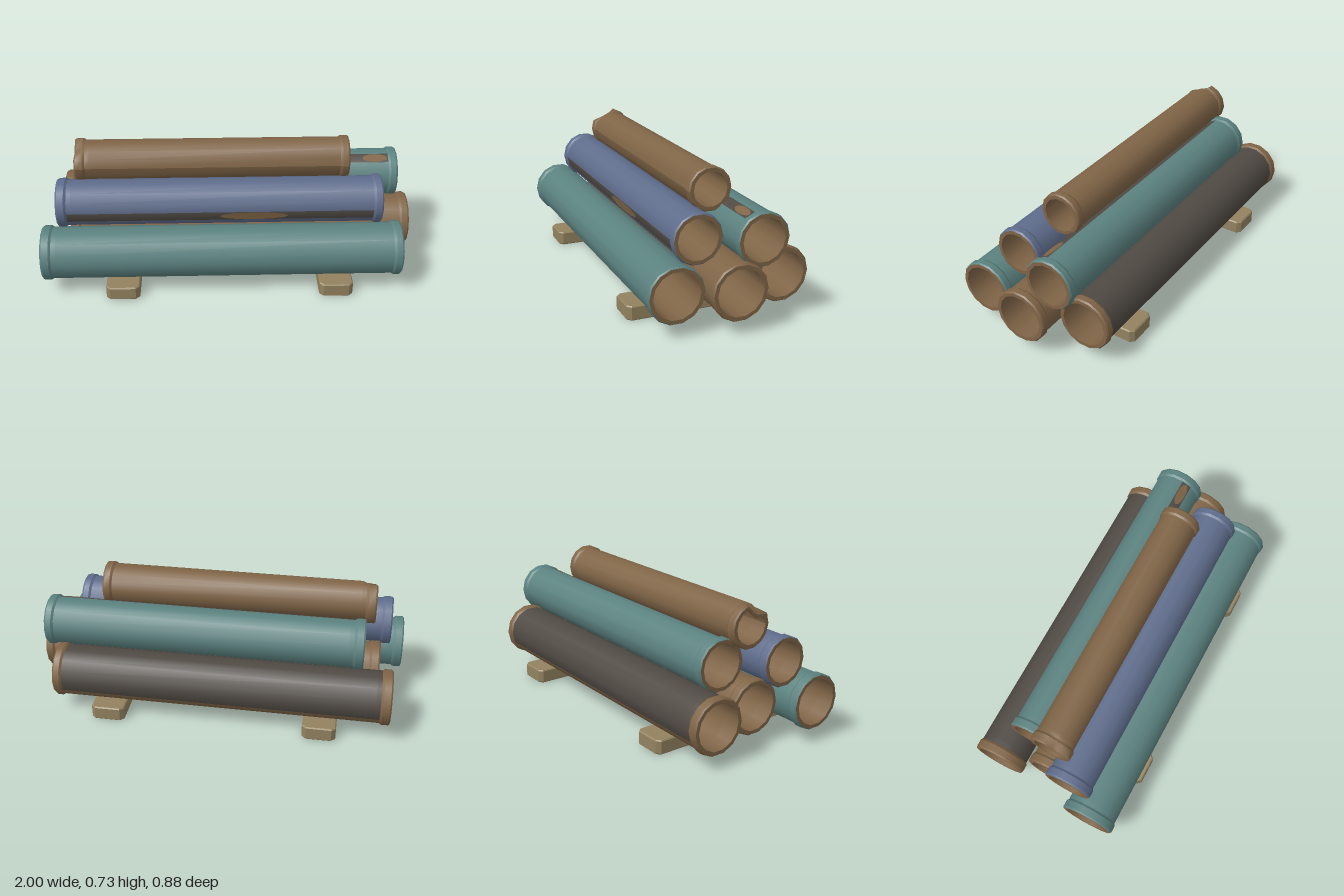
import * as THREE from 'three';

const SIDES = 14;
const STEP = (Math.PI * 2) / SIDES;

function material(name, color) {
  const m = new THREE.MeshStandardMaterial({ color });
  m.name = name;
  return m;
}

export function createModel() {
  const teal = material('teal paint', 0x5b8280);
  const blue = material('blue paint', 0x5f6d8c);
  const rust = material('brown rust', 0x806547);
  const grime = material('dark grime', 0x504a44);
  const wood = material('pale wood', 0x93825f);

  // One band of a pipe: a smooth lathe laid along x, with optional stripe facets
  function band(group, name, profile, mat, stripe, dent) {
    const g = new THREE.LatheGeometry(profile.map(([r, x]) => new THREE.Vector2(r, x)), SIDES);
    g.rotateZ(-Math.PI / 2);
    if (dent) {
      const p = g.attributes.position;
      for (let i = 0; i < p.count; i++) {
        const x = p.getX(i), y = p.getY(i), z = p.getZ(i);
        const angle = Math.atan2(y, z);
        const near = Math.max(0, 1 - (x - dent) / 0.075);
        if (near > 0 && Math.abs(angle - STEP * 2.5) < STEP * 0.6) {
          const k = 1 - 0.042 * near / Math.hypot(y, z);
          p.setY(i, y * k);
          p.setZ(i, z * k);
        }
      }
      g.computeVertexNormals();
    }
    let mats = mat;
    if (stripe) {
      const per = 6 * (profile.length - 1);
      for (let i = 0; i < SIDES; i++) g.addGroup(i * per, per, i === stripe.facet ? 1 : 0);
      mats = [mat, stripe.mat];
    }
    const mesh = new THREE.Mesh(g, mats);
    mesh.name = name;
    group.add(mesh);
  }

  // Hollow pipe with a bevelled collar at both ends
  function pipe({ name, y, z, R, x0, x1, body, collar = body, stripe, spots = [], dented }) {
    const group = new THREE.Group();
    group.name = name;
    group.position.set(0, y, z);
    const r = R - 0.008, bore = R - 0.025, edge = R - 0.006;
    const dent = dented ? x0 : 0;
    const add = (n, profile, mat, s) => band(group, n, profile, mat, s, dent);

    add('bore', [[bore, x1], [bore, x1 - 0.1], [bore, x0 + 0.1], [bore, x0]], rust);
    add('leftRim', [[bore, x0], [edge, x0]], rust);
    add('leftBevel', [[edge, x0], [R, x0 + 0.008]], collar);
    add('leftCollar', [[R, x0 + 0.008], [R, x0 + 0.044]], collar);
    add('leftShoulder', [[R, x0 + 0.044], [r, x0 + 0.056]], collar);
    add('pipeBody', [[r, x0 + 0.056], [r, x0 + 0.08], [r, x1 - 0.05]], body, stripe);
    add('rightShoulder', [[r, x1 - 0.05], [R, x1 - 0.038]], collar);
    add('rightCollar', [[R, x1 - 0.038], [R, x1 - 0.008]], collar);
    add('rightBevel', [[R, x1 - 0.008], [edge, x1]], collar);
    add('rightRim', [[edge, x1], [bore, x1]], rust);

    // Rust patches lying on the stripe facet
    for (const [x, halfLength, halfHeight] of spots) {
      const g = new THREE.CircleGeometry(1, 12);
      g.scale(halfLength, halfHeight, 1);
      g.translate(x, 0, r * Math.cos(STEP / 2) + 0.002);
      g.rotateX((stripe.facet + 0.5) * STEP);
      const spot = new THREE.Mesh(g, rust);
      spot.name = 'rustPatch';
      group.add(spot);
    }
    return group;
  }

  const model = new THREE.Group();
  model.name = 'pipeStack';

  const pipes = [
    { name: 'frontBottomPipe', y: 0.215, z: 0.291, R: 0.147, x0: -1, x1: 0.92, body: teal,
      stripe: { facet: 4, mat: grime }, spots: [[0.1, 0.08, 0.02], [0.35, 0.05, 0.018]] },
    { name: 'middleBottomPipe', y: 0.215, z: 0, R: 0.147, x0: -0.87, x1: 1, body: rust },
    { name: 'backBottomPipe', y: 0.215, z: -0.291, R: 0.147, x0: -0.94, x1: 0.87, body: grime,
      collar: rust, stripe: { facet: 5, mat: rust } },
    { name: 'frontUpperPipe', y: 0.438, z: 0.14, R: 0.132, x0: -0.92, x1: 0.82, body: blue,
      stripe: { facet: 0, mat: grime }, spots: [[0.13, 0.185, 0.026]] },
    { name: 'backUpperPipe', y: 0.439, z: -0.144, R: 0.138, x0: -0.78, x1: 0.945, body: teal,
      stripe: { facet: 11, mat: grime }, spots: [[0.82, 0.07, 0.025]] },
    { name: 'topPipe', y: 0.621, z: -0.002, R: 0.116, x0: -0.825, x1: 0.65, body: rust, dented: true },
  ];
  for (const p of pipes) model.add(pipe(p));

  // Two wooden bearers with clipped corners
  const bevel = 0.006;
  const w = 0.09 - bevel, l = 0.44 - bevel, c = 0.018;
  const outline = new THREE.Shape([
    [w, -l + c], [w, l - c], [w - c, l], [-w + c, l],
    [-w, l - c], [-w, -l + c], [-w + c, -l], [w - c, -l],
  ].map(([x, y]) => new THREE.Vector2(x, y)));
  const beam = new THREE.ExtrudeGeometry(outline, {
    depth: 0.077 - 2 * bevel, bevelEnabled: true, bevelThickness: bevel, bevelSize: bevel, bevelSegments: 1,
  });
  beam.rotateX(-Math.PI / 2);
  beam.translate(0, bevel, 0);
  for (const [name, x] of [['rightBearer', -0.576], ['leftBearer', 0.572]]) {
    const mesh = new THREE.Mesh(beam, wood);
    mesh.name = name;
    mesh.position.x = x;
    model.add(mesh);
  }
  return model;
}
